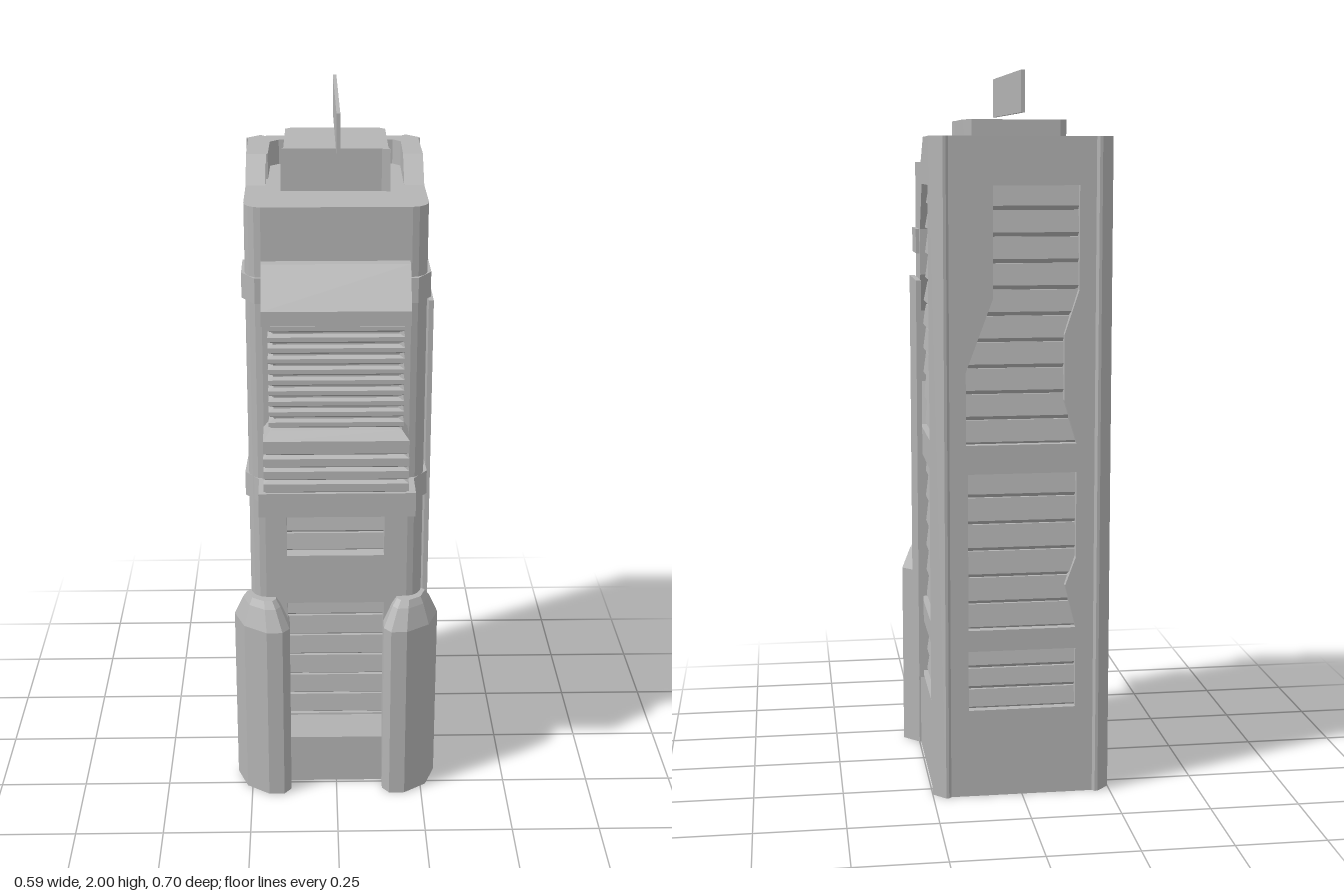
import * as THREE from 'three';

const concrete = new THREE.MeshStandardMaterial({ color: 0xb4b4b4, flatShading: true });
concrete.name = 'concrete grey';

export function createModel() {
  const model = new THREE.Group();
  model.name = 'tower';

  const add = (name, geometry) => {
    const mesh = new THREE.Mesh(geometry, concrete);
    mesh.name = name;
    model.add(mesh);
    return mesh;
  };
  const shapeOf = (pts, holes = []) => {
    const shape = new THREE.Shape(pts.map(p => new THREE.Vector2(...p)));
    holes.forEach(h => shape.holes.push(new THREE.Path(h.map(p => new THREE.Vector2(...p)))));
    return shape;
  };
  const extrude = (shape, depth) => new THREE.ExtrudeGeometry(shape, { depth, bevelEnabled: false });
  // plan outline in (x, z), raised from y0 to y1
  const plan = (pts, y0, y1) =>
    extrude(shapeOf(pts.map(([x, z]) => [x, -z])), y1 - y0).rotateX(-Math.PI / 2).translate(0, y0, 0);
  // side profile in (z, y), running from x0 to x1
  const profile = (pts, x0, x1, holes) =>
    extrude(shapeOf(pts, holes), x1 - x0).rotateY(-Math.PI / 2).translate(x1, 0, 0);
  // elevation in (x, y), running from z0 to z1
  const elevation = (pts, z0, z1, holes) => extrude(shapeOf(pts, holes), z1 - z0).translate(0, 0, z0);
  const box = (x0, x1, y0, y1, z0, z1) =>
    new THREE.BoxGeometry(x1 - x0, y1 - y0, z1 - z0).translate((x0 + x1) / 2, (y0 + y1) / 2, (z0 + z1) / 2);
  const rect = (a0, a1, y0, y1) => [[a0, y0], [a1, y0], [a1, y1], [a0, y1]];
  const mirrorPlan = pts => [...pts, ...pts.map(([x, z]) => [-x, z]).reverse()];

  // closed solid through convex horizontal rings, listed bottom to top
  function loft(rings) {
    const area = rings[0].reduce((s, p, i, r) => {
      const q = r[(i + 1) % r.length];
      return s + p[2] * q[0] - p[0] * q[2];
    }, 0);
    if (area < 0) rings = rings.map(r => [...r].reverse());
    const out = [], n = rings[0].length, top = rings[rings.length - 1];
    const tri = (a, b, c) => out.push(...a, ...b, ...c);
    for (let k = 0; k < rings.length - 1; k++) {
      for (let i = 0; i < n; i++) {
        const j = (i + 1) % n, a = rings[k], b = rings[k + 1];
        tri(a[i], a[j], b[j]);
        tri(a[i], b[j], b[i]);
      }
    }
    for (let i = 1; i < n - 1; i++) {
      tri(top[0], top[i], top[i + 1]);
      tri(rings[0][0], rings[0][i + 1], rings[0][i]);
    }
    const g = new THREE.BufferGeometry();
    g.setAttribute('position', new THREE.Float32BufferAttribute(out, 3));
    g.computeVertexNormals();
    return g;
  }

  // saw-tooth slats, facing outward at the given angle about y
  function louvre(name, angle, face, c0, c1, y0, y1, pitch = 0.07) {
    const pts = [[face - 0.045, y0]];
    const count = Math.round((y1 - y0) / pitch), step = (y1 - y0) / count;
    for (let i = 0; i < count; i++) {
      const y = y0 + i * step;
      pts.push([face - 0.032, y], [face - 0.014, y + 0.012], [face - 0.022, y + step]);
    }
    pts.push([face - 0.045, y1]);
    add(name, extrude(shapeOf(pts), c1 - c0).translate(0, 0, c0)).rotation.y = angle;
  }

  // side walls with three openings each
  const sideOpenings = [
    rect(-0.21, 0.07, 0.25, 0.42),
    rect(-0.21, 0.07, 0.48, 0.92),
    [[-0.235, 1], [0.07, 1], [0.12, 1.12], [0.12, 1.33], [0.04, 1.44], [0.04, 1.57],
      [-0.03, 1.7], [-0.21, 1.7], [-0.21, 1.15]],
  ];
  for (const s of [1, -1]) {
    const x0 = s > 0 ? 0.215 : -0.245;
    add('sideWall', profile(rect(-0.29, 0.185, 0, 1.76), x0, x0 + 0.03, sideOpenings));
    const angle = s > 0 ? 0 : Math.PI;
    const spans = [[-0.22, 0.08, 0.245, 0.425], [-0.22, 0.08, 0.475, 0.925], [-0.245, 0.13, 0.995, 1.705]];
    for (const [a, b, y0, y1] of spans) {
      louvre('sideLouvre', angle, 0.245, s > 0 ? a : -b, s > 0 ? b : -a, y0, y1);
    }
    // rounded front corner and chamfered rear corner column
    add('frontCorner', plan([[0.2, 0.24], [0.218, 0.235], [0.233, 0.222], [0.242, 0.205], [0.245, 0.185],
      [0.2, 0.185]].map(([x, z]) => [s * x, z]), 0, 1.76));
    add('rearColumn', plan([[0.2, -0.32], [0.207, -0.328], [0.215, -0.328], [0.25, -0.293], [0.25, -0.28],
      [0.2, -0.28]].map(([x, z]) => [s * x, z]), 0, 1.83));
    // ramp leading up to the parapet
    add('parapetRamp', profile([[-0.08, 1.75], [0, 1.75], [0, 1.76], [-0.08, 1.83]],
      s > 0 ? 0.19 : -0.245, s > 0 ? 0.245 : -0.19));
    // faceted buttress with tapered top
    const foot = [[0.135, 0.22], [0.135, 0.285], [0.155, 0.31], [0.2, 0.31], [0.265, 0.265],
      [0.295, 0.185], [0.25, 0.14], [0.2, 0.14]];
    const ring = (y, k) => foot.map(([x, z]) => [s * (0.215 + (x - 0.215) * k), y, 0.22 + (z - 0.22) * k]);
    add('buttress', loft([ring(0, 1), ring(0.54, 1), ring(0.6, 0.68), ring(0.62, 0.52)]));
  }

  // back wall and louvres
  add('backWall', elevation(rect(-0.21, 0.21, 0, 1.76), -0.32, -0.29, [
    rect(-0.15, 0.15, 0.25, 0.42),
    [[-0.15, 0.48], [0.15, 0.48], [0.15, 0.92], [-0.15, 0.92], [-0.15, 0.68], [-0.12, 0.6]],
    [[-0.15, 1], [0.155, 1], [0.155, 1.2], [0.08, 1.4], [0.08, 1.7], [-0.155, 1.7], [-0.155, 1.42],
      [-0.115, 1.3], [-0.115, 1.12]],
  ]));
  for (const [y0, y1] of [[0.245, 0.425], [0.475, 0.925], [0.995, 1.705]]) {
    louvre('backLouvre', Math.PI / 2, 0.32, -0.165, 0.165, y0, y1);
  }

  // front wall, louvres and sloping sill
  add('frontWall', elevation(rect(-0.2, 0.2, 0, 1.76), 0.2, 0.24,
    [rect(-0.14, 0.135, 0.15, 0.6), rect(-0.14, 0.135, 0.75, 0.915)]));
  louvre('frontLouvre', -Math.PI / 2, 0.225, -0.145, 0.145, 0.145, 0.605);
  louvre('frontLouvre', -Math.PI / 2, 0.225, -0.145, 0.145, 0.745, 0.92);
  add('frontSill', profile([[0.19, 0.15], [0.24, 0.15], [0.205, 0.205], [0.19, 0.205]], -0.14, 0.135));

  // collar and strap around the front
  add('collar', plan(mirrorPlan([[0.25, 0.075], [0.255, 0.19], [0.215, 0.245], [0.215, 0.347]]), 0.92, 0.99));
  add('strap', plan(mirrorPlan([[0.255, 0.065], [0.255, 0.19], [0.218, 0.248]]), 1.5, 1.57));

  // projecting ribbed bay
  const bayRing = (y, inset) => [[-0.2 + inset, y, 0.23], [0.195 - inset, y, 0.23],
    [0.195 - inset, y, 0.35 - inset], [-0.2 + inset, y, 0.35 - inset]];
  const bay = [];
  for (let i = 0; i < 4; i++) {
    const y = 0.99 + i * 0.037;
    bay.push(bayRing(y, 0.014), bayRing(y + 0.008, 0), bayRing(y + 0.03, 0));
  }
  bay.push(bayRing(1.145, 0), bayRing(1.17, 0.02));
  for (let i = 0; i < 10; i++) {
    const y = 1.17 + i * 0.03;
    bay.push(bayRing(y + 0.004, 0.03), bayRing(y + 0.012, 0.016), bayRing(y + 0.024, 0.016), bayRing(y + 0.03, 0.03));
  }
  add('ribbedBay', loft(bay));
  add('bayHood', profile([[0.23, 1.47], [0.35, 1.47], [0.35, 1.51], [0.27, 1.615], [0.23, 1.615]], -0.2, 0.195));

  // roof, parapet, penthouse and fin
  add('roof', plan(mirrorPlan([[0.23, -0.31], [0.235, 0.185], [0.205, 0.23]]), 1.735, 1.76));
  add('parapet', plan(mirrorPlan([[0.245, -0.08], [0.245, -0.29], [0.21, -0.32]])
    .concat([[-0.185, -0.08], [-0.182, -0.24], [-0.157, -0.265], [0.17, -0.265], [0.192, -0.238], [0.19, -0.08]]),
  1.75, 1.83));
  add('penthouse', plan([[-0.148, 0.06], [-0.14, 0.05], [-0.137, -0.2], [-0.118, -0.218], [0.125, -0.214],
    [0.145, -0.195], [0.143, 0.05], [0.148, 0.073], [0.125, 0.065]], 1.75, 1.875));
  add('roofFin', box(0, 0.01, 1.89, 2, -0.353, 0.22));

  // tall sign board beside the wall
  add('sideBoard', box(0.262, 0.276, 0.31, 1.44, -0.182, 0.037));
  return model;
}
